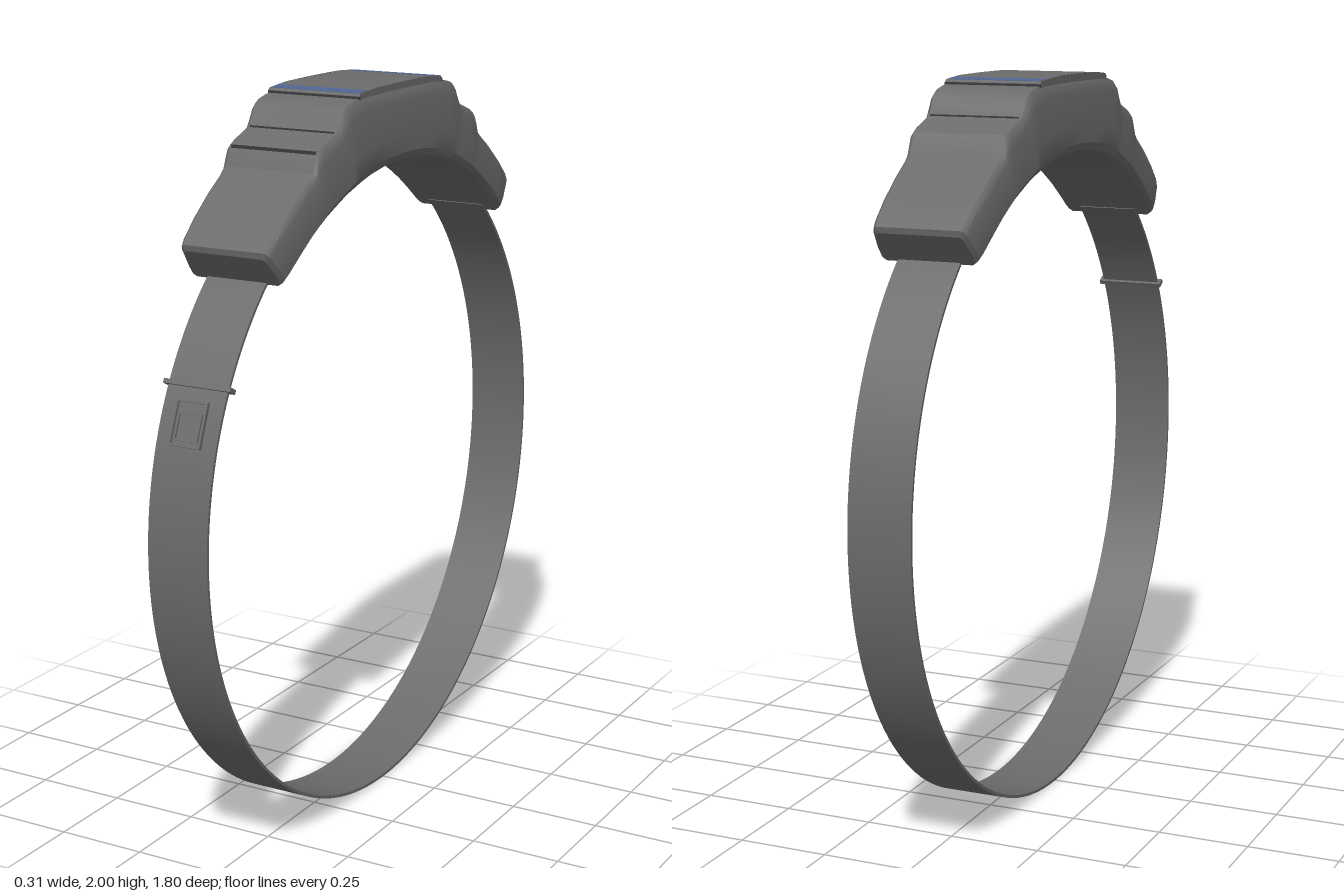
import * as THREE from 'three';
import { toCreasedNormals } from 'three/addons/utils/BufferGeometryUtils.js';

const CY = 0.902, R = 0.902, CX = -0.003;
const rad = THREE.MathUtils.degToRad;

const grey = new THREE.MeshStandardMaterial({ color: 0x6b6b6b });
grey.name = 'grey plastic';
const dark = new THREE.MeshStandardMaterial({ color: 0x3a3a3a });
dark.name = 'dark groove';
const blue = new THREE.MeshStandardMaterial({ color: 0x4f6591 });
blue.name = 'blue stripe';

function mesh(geometry, material, name, x = 0, y = 0, z = 0) {
  const m = new THREE.Mesh(geometry, material);
  m.name = name;
  m.position.set(x, y, z);
  return m;
}

// Joins closed rings of points, ordered along +z, into a capped solid
function loft(rings, crease) {
  const pos = [], n = rings[0].length;
  const tri = (...pts) => pts.forEach(p => pos.push(...p));
  for (let i = 0; i < rings.length - 1; i++) {
    for (let k = 0; k < n; k++) {
      const a = rings[i][k], b = rings[i][(k + 1) % n];
      const c = rings[i + 1][k], d = rings[i + 1][(k + 1) % n];
      tri(a, b, c);
      tri(b, d, c);
    }
  }
  const first = rings[0], last = rings[rings.length - 1];
  for (let k = 1; k < n - 1; k++) {
    tri(last[0], last[k], last[k + 1]);
    tri(first[0], first[k + 1], first[k]);
  }
  const g = new THREE.BufferGeometry();
  g.setAttribute('position', new THREE.Float32BufferAttribute(pos, 3));
  return toCreasedNormals(g, crease);
}

// Stepped housing: outer z, outer y, inner angle in degrees, half width
function housingGeometry() {
  const half = [
    [0, 1.985, 0, 0.155], [0.1, 1.985, 6, 0.155], [0.2, 1.983, 11.5, 0.155],
    [0.25, 1.977, 14, 0.155], [0.285, 1.969, 16, 0.155], [0.303, 1.958, 17.2, 0.155],
    [0.32, 1.93, 18.5, 0.154], [0.335, 1.909, 19.7, 0.153], [0.355, 1.898, 21, 0.153],
    [0.41, 1.879, 24.5, 0.152], [0.43, 1.868, 26, 0.151], [0.442, 1.845, 27.2, 0.15],
    [0.452, 1.818, 28.2, 0.15], [0.47, 1.803, 29.6, 0.149], [0.53, 1.766, 33, 0.147],
    [0.6, 1.714, 37, 0.145], [0.655, 1.668, 40.7, 0.141], [0.671, 1.652, 42, 0.137],
    [0.669, 1.636, 42.7, 0.128],
  ];
  const stations = [...half.slice(1).reverse().map(([z, y, a, w]) => [-z, y, -a, w]), ...half];
  // Width factor and height fraction up one side
  const side = [[0.93, 0], [1, 0.1], [1, 0.35], [0.95, 0.82], [0.92, 0.93], [0.86, 1]];
  const rings = stations.map(([z, y, a, w]) => {
    const iz = 0.896 * Math.sin(rad(a)), iy = CY + 0.896 * Math.cos(rad(a));
    const point = ([f, t], s) => [CX + s * f * w, iy + (y - iy) * t, iz + (z - iz) * t];
    return [...side.map(p => point(p, 1)), ...[...side].reverse().map(p => point(p, -1))];
  });
  return loft(rings, 0.5);
}

// Box-like strip following a (z, y) top line
function strip(line, x0, x1, thick) {
  return loft(line.map(([z, y]) => [
    [x1, y - thick, z], [x1, y, z], [x0, y, z], [x0, y - thick, z],
  ]), 0.3);
}

// Flat rectangular frame, standing up from y = 0
function frame(w, h, innerW, innerH, depth) {
  const rect = (path, a, b) => path.moveTo(-a / 2, -b / 2).lineTo(a / 2, -b / 2)
    .lineTo(a / 2, b / 2).lineTo(-a / 2, b / 2).closePath();
  const s = rect(new THREE.Shape(), w, h);
  s.holes.push(rect(new THREE.Path(), innerW, innerH));
  return new THREE.ExtrudeGeometry(s, { depth, bevelEnabled: false }).rotateX(-Math.PI / 2);
}

// Group on the band at an angle from the top towards the front
function onBand(degrees, name) {
  const g = new THREE.Group();
  g.name = name;
  g.rotation.x = rad(degrees);
  g.position.set(CX, CY, 0);
  return g;
}

export function createModel() {
  const model = new THREE.Group();
  model.name = 'headband';

  // Thin open hoop, its ends tucked into the housing
  const hoop = new THREE.Shape();
  hoop.absarc(0, 0, R, rad(131), rad(409), false);
  hoop.absarc(0, 0, R - 0.008, rad(409), rad(131), true);
  const band = new THREE.ExtrudeGeometry(hoop, { depth: 0.174, bevelEnabled: false, curveSegments: 96 });
  band.translate(0, 0, -0.087).rotateY(Math.PI / 2);
  model.add(mesh(toCreasedNormals(band, 0.5), grey, 'band', CX, CY, 0));

  model.add(mesh(housingGeometry(), grey, 'housing'));

  // Top cover with sloping ends
  const cover = [[-0.23, 1.986], [-0.222, 1.992], [-0.14, 1.999], [0, 2], [0.14, 1.999], [0.222, 1.992], [0.23, 1.986]];
  model.add(mesh(strip(cover, -0.14, 0.133, 0.02), grey, 'topCover'));

  for (const s of [-1, 1]) {
    // Blue stripes on both ends of the cover
    const line = [[s * 0.182, 1.9965], [s * 0.222, 1.9932]].sort((a, b) => a[0] - b[0]);
    model.add(mesh(strip(line, -0.136, 0.13, 0.004), blue, s > 0 ? 'frontStripe' : 'backStripe'));
    // Dark seam under each end of the cover
    model.add(mesh(new THREE.BoxGeometry(0.274, 0.008, 0.006), dark, 'coverSeam', CX, 1.981, s * 0.229));
    // Groove at the foot of the upper step
    model.add(mesh(new THREE.BoxGeometry(0.25, 0.008, 0.006), dark, 'stepGroove', CX, 1.904, s * 0.341));
  }
  model.add(mesh(new THREE.BoxGeometry(0.25, 0.008, 0.006), dark, 'lowerGroove', CX, 1.866, 0.43));
  model.add(mesh(new THREE.BoxGeometry(0.003, 0.002, 0.18), dark, 'sideSeam', -0.136, 2.0, 0).translateY(-0.001));

  // Wire loop round the band
  const loop = onBand(61.5, 'bandLoop');
  const wire = frame(0.196, 0.026, 0.176, 0.009, 0.012).rotateX(Math.PI / 2);
  loop.add(mesh(wire, grey, 'loopWire', 0, R - 0.004, -0.006));
  model.add(loop);

  // Buckle plate with raised rims
  const buckle = onBand(67.7, 'buckle');
  buckle.add(mesh(new THREE.BoxGeometry(0.09, 0.006, 0.115), grey, 'bucklePlate', 0, R, 0));
  buckle.add(mesh(frame(0.092, 0.117, 0.08, 0.105, 0.01), grey, 'outerRim', 0, R, 0));
  buckle.add(mesh(frame(0.07, 0.072, 0.06, 0.062, 0.008), grey, 'innerRim', 0, R, 0.008));
  model.add(buckle);

  return model;
}
